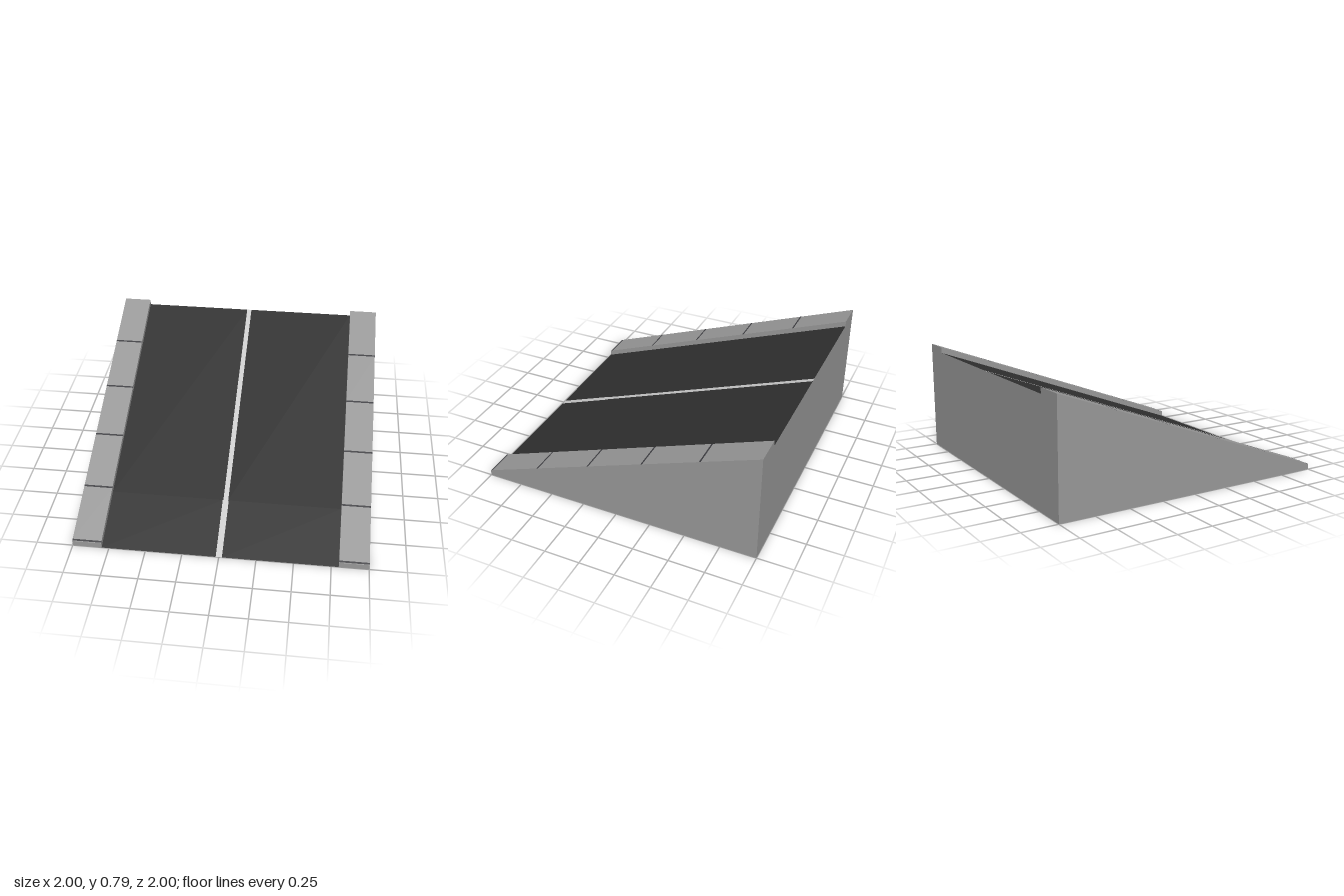
import * as THREE from 'three';

const paint = (color) => new THREE.MeshStandardMaterial({ color, side: THREE.DoubleSide, flatShading: true });

// Road height at depth z: rises from the front edge to the back edge
const roadY = (z) => 0.375 * (1 - z);
const KERB = 0.04;

// Four-cornered panel, corners counter-clockwise from outside
function panel(name, material, a, b, c, d) {
  const geometry = new THREE.BufferGeometry();
  geometry.setAttribute('position', new THREE.Float32BufferAttribute([a, b, c, a, c, d].flat(), 3));
  geometry.computeVertexNormals();
  const mesh = new THREE.Mesh(geometry, material);
  mesh.name = name;
  return mesh;
}

// Panel lying on the slope, raised by lift
function slopePanel(name, material, x0, x1, zBack, zFront, lift = 0) {
  const yF = roadY(zFront) + lift, yB = roadY(zBack) + lift;
  return panel(name, material, [x0, yF, zFront], [x1, yF, zFront], [x1, yB, zBack], [x0, yB, zBack]);
}

// Upright panel in the plane x, following the slope; side is the facing direction
function uprightPanel(name, material, x, side, zBack, zFront, bottom, top) {
  const corners = [
    [x, bottom(zFront), zFront], [x, bottom(zBack), zBack],
    [x, top(zBack), zBack], [x, top(zFront), zFront],
  ];
  if (side < 0) corners.reverse();
  return panel(name, material, ...corners);
}

export function createModel() {
  const model = new THREE.Group();
  model.name = 'ramp';
  const concrete = paint(0x999999);
  const asphalt = paint(0x303030);
  const line = paint(0xd8d8d8);
  const groove = paint(0x404044);
  const kerbY = (z) => roadY(z) + KERB;

  // Road surface and centre line, slightly wider on the first stretch
  for (const [zBack, zFront, half] of [[-1, 0.6, 0.017], [0.6, 1, 0.021]]) {
    model.add(slopePanel('roadRight', asphalt, -0.8, -half, zBack, zFront));
    model.add(slopePanel('centreLine', line, -half, half, zBack, zFront));
    model.add(slopePanel('roadLeft', asphalt, half, 0.8, zBack, zFront));
  }

  // Kerbs: five slabs each, with a dark joint at the front of every slab
  for (const side of [1, -1]) {
    const kerb = new THREE.Group();
    kerb.name = side > 0 ? 'leftKerb' : 'rightKerb';
    const x0 = side > 0 ? 0.8 : -1, x1 = x0 + 0.2;
    let zBack = -1;
    for (const joint of [-0.6, -0.2, 0.2, 0.6, 0.99]) {
      const pieces = [
        ['slab', concrete, zBack, joint - 0.006],
        ['joint', groove, joint - 0.006, joint + 0.006],
      ];
      for (const [name, material, z0, z1] of pieces) {
        kerb.add(slopePanel(name, material, x0, x1, z0, z1, KERB));
        kerb.add(uprightPanel(name + 'Side', concrete, 0.8 * side, -side, z0, z1, roadY, kerbY));
      }
      zBack = joint + 0.006;
    }
    // Remaining lip and front end of the kerb
    kerb.add(slopePanel('lip', concrete, x0, x1, zBack, 1, KERB));
    kerb.add(uprightPanel('lipSide', concrete, 0.8 * side, -side, zBack, 1, roadY, kerbY));
    kerb.add(panel('kerbEnd', concrete, [x0, 0, 1], [x1, 0, 1], [x1, KERB, 1], [x0, KERB, 1]));
    model.add(kerb);

    // Outer wall down to the ground
    model.add(uprightPanel(side > 0 ? 'leftWall' : 'rightWall', concrete, side, side, -1, 1, () => 0, kerbY));
  }

  // Back wall, stepped up at the kerbs; the underside stays open
  const top = kerbY(-1), road = roadY(-1);
  const outline = [[-1, 0], [1, 0], [1, top], [0.8, top], [0.8, road], [-0.8, road], [-0.8, top], [-1, top]];
  const backWall = new THREE.Mesh(
    new THREE.ShapeGeometry(new THREE.Shape(outline.map(([x, y]) => new THREE.Vector2(x, y)))), concrete);
  backWall.name = 'backWall';
  backWall.rotation.y = Math.PI;
  backWall.position.z = -1;
  model.add(backWall);

  return model;
}
